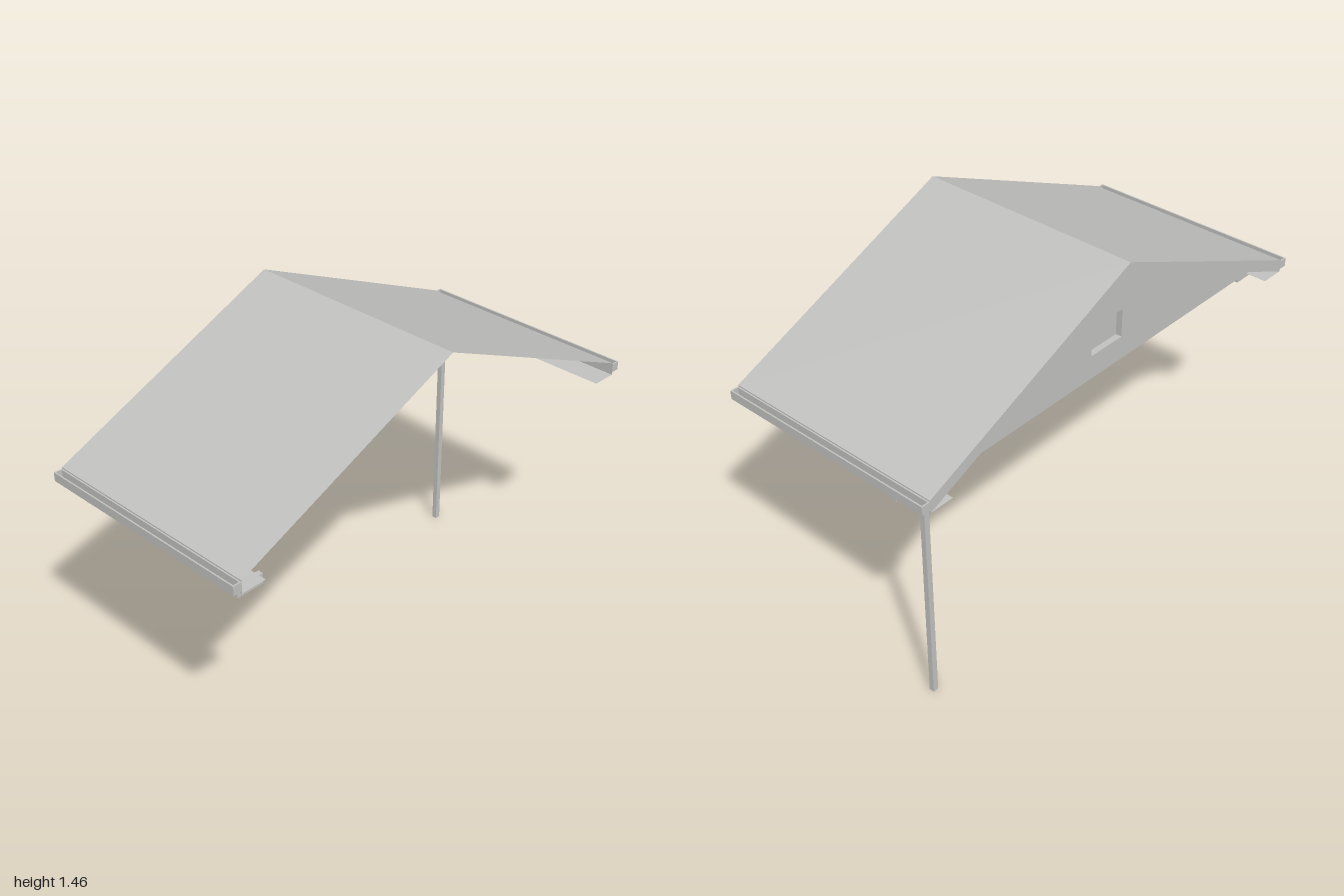
import * as THREE from 'three';

const HALF = 0.46;      // half length of the ridge
const EAVE = 0.965;     // half span at the fascia
const RIDGE_Y = 1.455, EDGE_Y = 1.035;  // roof covering
const APEX_Y = 1.405, BASE_Y = 0.985;   // gable wall and soffits
const WALL_X = -0.372;  // gable wall plane
const T = 0.006;        // gutter sheet thickness

export function createModel() {
  const group = new THREE.Group();
  const grey = new THREE.MeshStandardMaterial({ color: 0xc0c0be, side: THREE.DoubleSide });
  grey.name = 'plain grey';

  function add(name, geometry) {
    const mesh = new THREE.Mesh(geometry, grey);
    mesh.name = name;
    group.add(mesh);
    return mesh;
  }

  // Flat four-cornered sheet
  function sheet(name, a, b, c, d) {
    const g = new THREE.BufferGeometry();
    g.setAttribute('position', new THREE.Float32BufferAttribute([...a, ...b, ...c, ...d], 3));
    g.setIndex([0, 1, 2, 0, 2, 3]);
    g.computeVertexNormals();
    return add(name, g);
  }

  // Box given by its extents
  function box(name, x0, x1, y0, y1, z0, z1) {
    const g = new THREE.BoxGeometry(x1 - x0, y1 - y0, z1 - z0);
    g.translate((x0 + x1) / 2, (y0 + y1) / 2, (z0 + z1) / 2);
    return add(name, g);
  }

  // Both halves of the roof
  for (const s of [1, -1]) {
    const side = s > 0 ? 'front' : 'back';
    const X = HALF * s, Z = EAVE * s;
    sheet(side + 'RoofSlope', [-X, EDGE_Y, Z], [X, EDGE_Y, Z], [X, RIDGE_Y, 0], [-X, RIDGE_Y, 0]);
    sheet(side + 'Fascia', [-X, BASE_Y, Z], [X, BASE_Y, Z], [X, EDGE_Y, Z], [-X, EDGE_Y, Z]);
    sheet(side + 'EaveSoffit', [-X, BASE_Y, 0.865 * s], [X, BASE_Y, 0.865 * s], [X, BASE_Y, Z], [-X, BASE_Y, Z]);

    // Boxed verge overhanging the gable wall
    sheet(side + 'VergeBoard', [-HALF, BASE_Y, Z], [-HALF, EDGE_Y, Z], [-HALF, RIDGE_Y, 0], [-HALF, APEX_Y, 0]);
    sheet(side + 'VergeSoffit', [-HALF, BASE_Y, Z], [-HALF, APEX_Y, 0], [WALL_X, APEX_Y, 0], [WALL_X, BASE_Y, Z]);

    // Open-topped gutter with closed ends
    const span = (a, b) => (s > 0 ? [a, b] : [-b, -a]);
    box(side + 'GutterFloor', -HALF, HALF, 0.995, 0.995 + T, ...span(EAVE, 1));
    box(side + 'GutterLip', -HALF, HALF, 0.995 + T, 1.03, ...span(1 - T, 1));
    box(side + 'GutterBack', -HALF, HALF, 0.995 + T, 1.03, ...span(EAVE, EAVE + T));
    for (const x of [-HALF, HALF - T]) {
      box(side + 'GutterEnd', x, x + T, 0.995 + T, 1.03, ...span(EAVE + T, 1 - T));
    }
  }

  // Gable wall with an opening for the blind window
  const W = 0.083, Y0 = 1.08, Y1 = 1.195, DEPTH = 0.025;
  const wall = new THREE.Shape([
    new THREE.Vector2(-EAVE, BASE_Y),
    new THREE.Vector2(EAVE, BASE_Y),
    new THREE.Vector2(0, APEX_Y),
  ]);
  const opening = [[-W, Y0], [-W, Y1], [W, Y1], [W, Y0]];
  wall.holes.push(new THREE.Path(opening.map(([z, y]) => new THREE.Vector2(z, y))));
  const wallGeometry = new THREE.ShapeGeometry(wall);
  wallGeometry.rotateY(-Math.PI / 2);
  wallGeometry.translate(WALL_X, 0, 0);
  add('gableWall', wallGeometry);

  // Recessed window pane and its reveals
  const back = WALL_X + DEPTH;
  sheet('windowPane', [back, Y0, -W], [back, Y0, W], [back, Y1, W], [back, Y1, -W]);
  opening.forEach(([z, y], i) => {
    const [z2, y2] = opening[(i + 1) % 4];
    sheet('windowReveal', [WALL_X, y, z], [WALL_X, y2, z2], [back, y2, z2], [back, y, z]);
  });

  // Rafter ends under the front eave
  for (const x of [-0.338, 0.416]) {
    box('frontBracket', x - 0.01, x + 0.01, 0.942, BASE_Y - 0.002, 0.847, 0.957);
  }

  // Downpipe with its arm to the back gutter
  box('downpipe', -0.321, -0.3, 0, BASE_Y - 0.002, -0.862, -0.84);
  box('downpipeArm', -0.321, -0.3, 0.962, BASE_Y - 0.002, -0.98, -0.862);

  return group;
}
